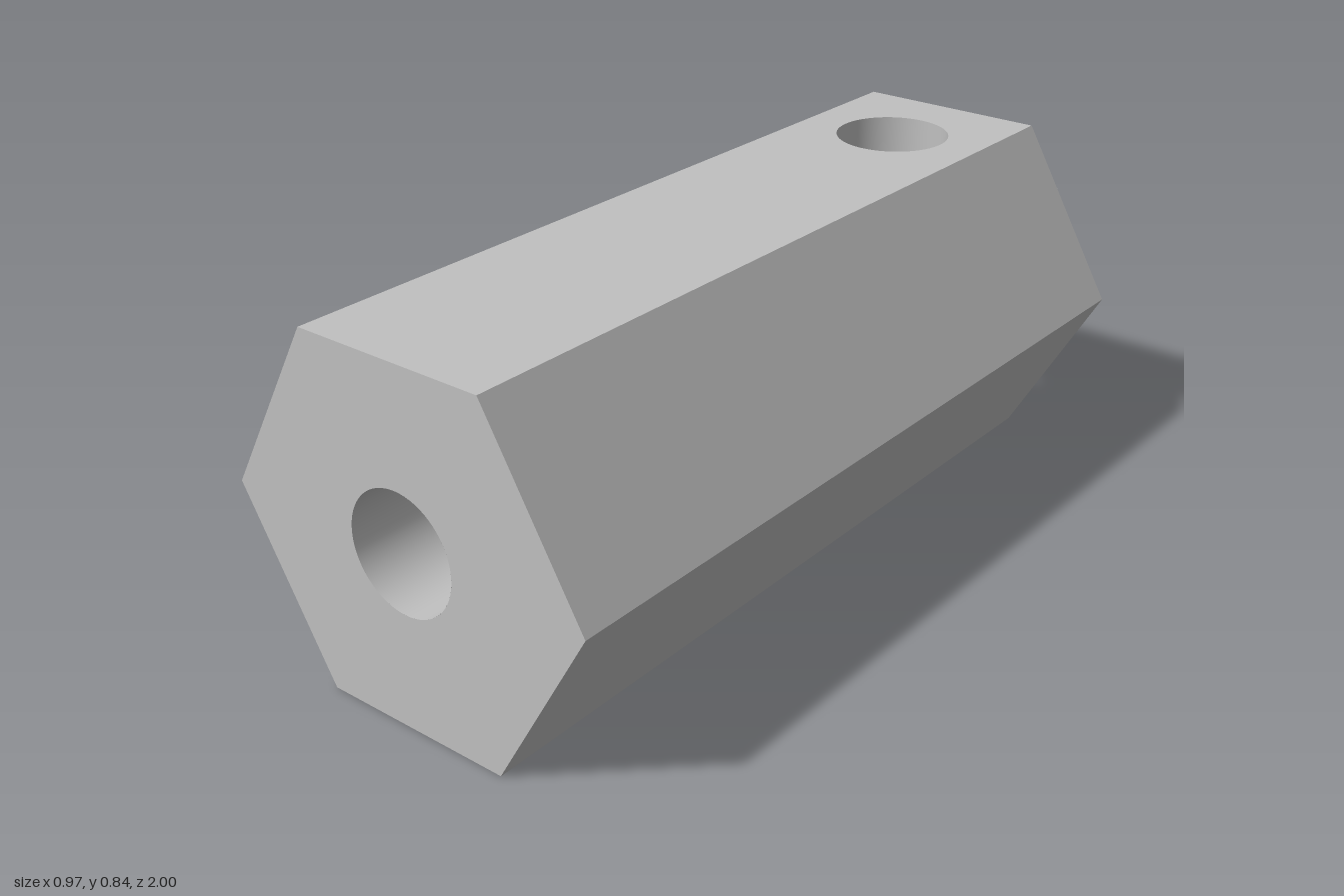
import * as THREE from 'three';
import { ParametricGeometry } from 'three/addons/geometries/ParametricGeometry.js';

const SIDE = 0.486;                       // hexagon side
const APO = SIDE * Math.sqrt(3) / 2;      // half height across flats
const R = 0.141;                          // radius of every hole
const FLAT = 0.105;                       // height of the bore's flat above the axis
const LEDGE = 0.065;                      // floor of the screw hole above the axis
const SCREW_Z = -0.72;
const BORE_END = -0.44, FRONT_DEPTH = 0.29;
const A_FLAT = Math.asin(FLAT / R), A_LEDGE = Math.asin(LEDGE / R);

export function createModel() {
  const metal = new THREE.MeshStandardMaterial({ color: 0xc0c0c0, side: THREE.DoubleSide });
  metal.name = 'grey metal';
  const body = new THREE.Group();
  body.name = 'hexCoupling';
  body.position.y = APO;

  const add = (name, geometry) => {
    const mesh = new THREE.Mesh(geometry, metal);
    mesh.name = name;
    body.add(mesh);
  };
  const surface = (name, fn, nu, nv = 1) =>
    add(name, new ParametricGeometry((u, v, p) => p.set(...fn(u, v)), nu, nv));
  const flatShape = (shape) => new THREE.ShapeGeometry(shape, 64);
  const lerp = THREE.MathUtils.lerp;

  const circle = (Type, y = 0) => {
    const c = new Type();
    c.absarc(0, y, R, 0, Math.PI * 2, false);
    return c;
  };
  const dProfile = (Type) => {
    const d = new Type();
    d.absarc(0, 0, R, Math.PI - A_FLAT, Math.PI * 2 + A_FLAT, false);
    d.closePath();
    return d;
  };
  const hexagon = (hole) => {
    const pts = [];
    for (let i = 0; i < 6; i++) {
      const a = i * Math.PI / 3;
      pts.push(new THREE.Vector2(SIDE * Math.cos(a), SIDE * Math.sin(a)));
    }
    const shape = new THREE.Shape(pts);
    shape.holes.push(hole);
    return shape;
  };

  // Six long faces, the top one pierced by the screw hole
  for (let i = 0; i < 6; i++) {
    const s = SIDE / 2;
    const face = new THREE.Shape([[-s, -1], [s, -1], [s, 1], [-s, 1]].map(p => new THREE.Vector2(...p)));
    if (i === 0) face.holes.push(circle(THREE.Path, -SCREW_Z));
    add(i === 0 ? 'topFace' : 'sideFace',
      flatShape(face).rotateX(-Math.PI / 2).translate(0, APO, 0).rotateZ(i * Math.PI / 3));
  }

  // End faces
  add('frontEnd', flatShape(hexagon(circle(THREE.Path))).translate(0, 0, 1));
  add('backEnd', flatShape(hexagon(dProfile(THREE.Path))).rotateY(Math.PI).translate(0, 0, -1));

  // Round blind bore in the front
  surface('frontBoreWall', (u, v) => {
    const a = u * Math.PI * 2;
    return [R * Math.cos(a), R * Math.sin(a), 1 - v * FRONT_DEPTH];
  }, 64);
  add('frontBoreFloor', flatShape(circle(THREE.Shape)).translate(0, 0, 1 - FRONT_DEPTH));

  // D-shaped blind bore in the back: uncut lower wall and floor
  surface('backBoreWall', (u, v) => {
    const a = lerp(-Math.PI - A_LEDGE, A_LEDGE, u);
    return [R * Math.cos(a), R * Math.sin(a), lerp(BORE_END, -1, v)];
  }, 64);
  add('backBoreFloor', flatShape(dProfile(THREE.Shape)).rotateY(Math.PI).translate(0, 0, BORE_END));

  // Upper bore walls and flat, interrupted where the screw hole passes
  const arc = (from, to) => (u) => {
    const a = lerp(from, to, u);
    return [R * Math.cos(a), R * Math.sin(a)];
  };
  const flatHalf = R * Math.cos(A_FLAT);
  const sections = [
    ['upperBoreWall', arc(A_LEDGE, A_FLAT)],
    ['boreFlat', (u) => [lerp(flatHalf, -flatHalf, u), FLAT]],
    ['upperBoreWall', arc(Math.PI - A_FLAT, Math.PI - A_LEDGE)],
  ];
  for (const [name, section] of sections) {
    for (const end of [1, -1]) {
      surface(name, (u, v) => {
        const [x, y] = section(u);
        const cut = SCREW_Z + end * Math.sqrt(Math.max(0, R * R - x * x));
        return [x, y, end > 0 ? lerp(BORE_END, cut, v) : lerp(cut, -1, v)];
      }, 24);
    }
  }

  // Screw hole wall, its lower edge following the bore
  surface('screwHoleWall', (u, v) => {
    const a = u * Math.PI * 2, x = R * Math.sin(a);
    const low = THREE.MathUtils.clamp(Math.sqrt(Math.max(0, R * R - x * x)), LEDGE, FLAT);
    return [x, lerp(APO, low, v), SCREW_Z + R * Math.cos(a)];
  }, 128);

  // Small ledges left at the foot of the screw hole
  for (const turn of [0, Math.PI]) {
    const ledge = new THREE.Shape();
    ledge.absarc(0, 0, R, -A_LEDGE, A_LEDGE, false);
    ledge.closePath();
    add('screwHoleLedge', flatShape(ledge).rotateX(-Math.PI / 2).rotateY(turn).translate(0, LEDGE, SCREW_Z));
  }

  const model = new THREE.Group();
  model.name = 'model';
  model.add(body);
  return model;
}
